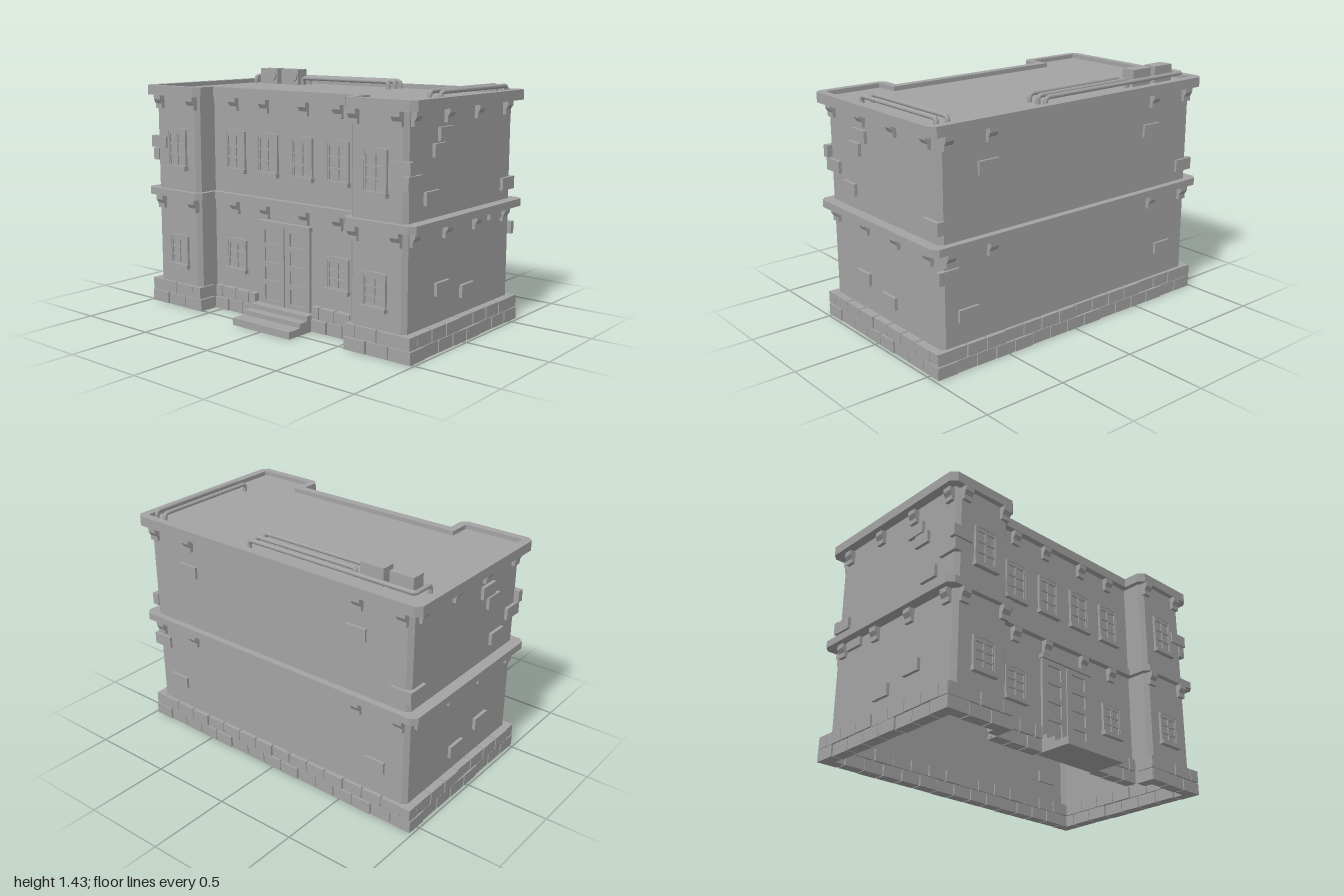
import * as THREE from 'three';

const stone = new THREE.MeshStandardMaterial({ color: 0xa3a3a3, side: THREE.DoubleSide });
stone.name = 'grey stone';

function add(parent, name, geometry, x = 0, y = 0, z = 0, ry = 0) {
  const m = new THREE.Mesh(geometry, stone);
  m.name = name;
  m.position.set(x, y, z);
  m.rotation.y = ry;
  parent.add(m);
  return m;
}
const box = (w, h, d) => new THREE.BoxGeometry(w, h, d);

// U-shaped floor plan with chamfered outer corners, as [x, z], front edges running to +x
function plan(hx, zb, zf, nx, nz, c) {
  const half = [[nx, nz], [nx, zf - c], [nx + c, zf], [hx - c, zf], [hx, zf - c], [hx, zb + c], [hx - c, zb]];
  return [...half, ...half.map(([x, z]) => [-x, z]).reverse()];
}
const toPoints = (pts) => pts.map(([x, z]) => new THREE.Vector2(x, -z));

// Horizontal slab from a plan, optionally with an opening
function slab(outer, inner, h) {
  const s = new THREE.Shape(toPoints(outer));
  if (inner) s.holes.push(new THREE.Path(toPoints(inner)));
  return new THREE.ExtrudeGeometry(s, { depth: h, bevelEnabled: false }).rotateX(-Math.PI / 2);
}

// Shape with a gently arched top, base at y = 0
function arched(Type, x0, x1, y0, y1, rise) {
  const s = new Type();
  s.moveTo(x0, y0);
  s.lineTo(x1, y0);
  s.lineTo(x1, y1 - rise);
  s.quadraticCurveTo((x0 + x1) / 2, y1 + rise, x0, y1 - rise);
  s.closePath();
  return s;
}
function rectHole(x0, x1, y0, y1) {
  return new THREE.Path([[x0, y0], [x1, y0], [x1, y1], [x0, y1]].map((p) => new THREE.Vector2(...p)));
}
const extrude = (s, depth) => new THREE.ExtrudeGeometry(s, { depth, bevelEnabled: false, curveSegments: 6 });

// Arched window: frame, six-pane sash, glass and sill
function makeWindow(parent, x, y, z, h) {
  const g = new THREE.Group();
  g.name = 'window';
  g.position.set(x, y, z);
  const w = 0.078;
  const frame = arched(THREE.Shape, -w, w, 0, h, 0.008);
  frame.holes.push(arched(THREE.Path, -w + 0.012, w - 0.012, 0.02, h - 0.012, 0.008));
  add(g, 'windowFrame', extrude(frame, 0.035), 0, 0, -0.02);
  const sash = arched(THREE.Shape, -w + 0.01, w - 0.01, 0.02, h - 0.01, 0.008);
  const y0 = 0.034, step = (h - 0.026 - y0) / 3;
  for (const s of [-1, 1]) for (let r = 0; r < 3; r++) {
    const a = s * 0.006, b = s * (w - 0.02);
    sash.holes.push(rectHole(Math.min(a, b), Math.max(a, b), y0 + r * step, y0 + (r + 1) * step - 0.01));
  }
  add(g, 'windowSash', extrude(sash, 0.008), 0, 0, 0.003);
  add(g, 'windowGlass', box(2 * w - 0.03, h - 0.04, 0.004), 0, h / 2, 0);
  add(g, 'windowSill', box(2 * w + 0.012, 0.026, 0.055), 0, 0.013, 0.002);
  parent.add(g);
}

// Stepped bracket profile (outward, down) extruded across its width
const bracketShape = new THREE.Shape(
  [[-0.01, 0], [0.035, 0], [0.035, -0.028], [0.02, -0.052], [0.02, -0.08], [-0.01, -0.08]].map((p) => new THREE.Vector2(...p)));
const bracketGeo = extrude(bracketShape, 0.055).translate(0, 0, -0.0275).rotateY(-Math.PI / 2);

// Pipe along a path with rounded corners
function pipe(parent, pts, bend = 0.025) {
  const v = pts.map((p) => new THREE.Vector3(...p));
  const path = new THREE.CurvePath();
  let from = v[0];
  for (let i = 1; i < v.length - 1; i++) {
    const a = v[i].clone().add(v[i - 1].clone().sub(v[i]).setLength(bend));
    const b = v[i].clone().add(v[i + 1].clone().sub(v[i]).setLength(bend));
    path.add(new THREE.LineCurve3(from, a));
    path.add(new THREE.QuadraticBezierCurve3(a, v[i], b));
    from = b;
  }
  path.add(new THREE.LineCurve3(from, v[v.length - 1]));
  add(parent, 'roofPipe', new THREE.TubeGeometry(path, 80, 0.013, 8));
}

export function createModel() {
  const root = new THREE.Group();
  root.name = 'building';

  // Walls
  const wallPlan = plan(0.935, -0.55, 0.5, 0.57, 0.36, 0.024);
  const walls = new THREE.Group();
  walls.name = 'walls';
  root.add(walls);
  // the plan starts at the right notch, so each edge runs outward-facing
  wallPlan.forEach(([ax, az], i) => {
    const [bx, bz] = wallPlan[(i + 1) % wallPlan.length];
    add(walls, 'wall', new THREE.PlaneGeometry(Math.hypot(bx - ax, bz - az), 1.32),
      (ax + bx) / 2, 0.67, (az + bz) / 2, Math.atan2(az - bz, bx - ax));
  });

  // Cornices and roof
  const outer = plan(1, -0.59, 0.532, 0.54, 0.398, 0.032);
  const inner = plan(0.95, -0.542, 0.485, 0.588, 0.347, 0.01);
  add(root, 'roofCornice', slab(outer, inner, 0.058), 0, 1.306, 0);
  add(root, 'roofDeck', slab(inner, null, 0.02), 0, 1.318, 0);
  add(root, 'middleCornice', slab(outer, plan(0.925, -0.54, 0.49, 0.58, 0.35, 0.02), 0.043), 0, 0.692, 0);

  // Brackets under both cornices
  for (const y of [1.307, 0.693]) for (const s of [-1, 1]) {
    for (const x of [0.885, 0.608]) {
      add(root, 'bracket', bracketGeo, s * x, y, 0.5);
      add(root, 'bracket', bracketGeo, s * x, y, -0.55, Math.PI);
    }
    for (const x of [0.393, 0.15]) add(root, 'bracket', bracketGeo, s * x, y, 0.36);
    for (const z of [0.44, 0.137, -0.162, -0.465]) add(root, 'bracket', bracketGeo, s * 0.935, y, z, s * Math.PI / 2);
  }

  // Windows
  for (const s of [-1, 1]) {
    makeWindow(root, s * 0.743, 0.86, 0.5, 0.255);
    makeWindow(root, s * 0.743, 0.255, 0.5, 0.21);
    makeWindow(root, s * 0.388, 0.86, 0.36, 0.255);
    makeWindow(root, s * 0.13, 0.86, 0.36, 0.255);
    makeWindow(root, s * 0.388, 0.255, 0.36, 0.21);
  }

  // Double door with four sunken panels per leaf
  for (const s of [-1, 1]) {
    const leaf = new THREE.Shape(rectHole(-0.094, 0.094, 0, 0.48).getPoints());
    for (const [a, b] of [[0.03, 0.12], [0.15, 0.23], [0.26, 0.34], [0.37, 0.45]])
      leaf.holes.push(rectHole(-0.055, 0.055, a, b));
    add(root, 'doorLeaf', extrude(leaf, 0.015), s * 0.098, 0.1, 0.362);
    add(root, 'doorPanels', box(0.186, 0.478, 0.008), s * 0.098, 0.34, 0.362);
  }
  add(root, 'doorLintel', box(0.4, 0.026, 0.05), 0, 0.592, 0.365);

  // Entrance steps
  [[0.05, 0.585], [0.077, 0.49], [0.105, 0.432]].forEach(([top, front]) => {
    add(root, 'entranceStep', box(0.436, top - 0.008, front - 0.35), 0, (top + 0.008) / 2, (front + 0.35) / 2);
  });

  // Two courses of base bricks in running bond
  const base = new THREE.Group();
  base.name = 'baseBricks';
  root.add(base);
  const course = (ax, az, bx, bz) => {
    const len = Math.hypot(bx - ax, bz - az), ux = (bx - ax) / len, uz = (bz - az) / len;
    const n = Math.max(1, Math.round(len / 0.133)), w = len / n;
    for (let row = 0; row < 2; row++) for (let i = 0; i < n + row; i++) {
      const t0 = Math.max(0, (i - row / 2) * w), t1 = Math.min(len, (i + 1 - row / 2) * w);
      const t = (t0 + t1) / 2, sink = 0.035 + ((i * 7 + row * 3) % 4) * 0.002;
      add(base, 'baseBrick', box(t1 - t0 - 0.007, 0.07, 0.07),
        ax + ux * t + uz * sink, row ? 0.12 : 0.045, az + uz * t - ux * sink, Math.atan2(-uz, ux));
    }
  };
  const B = { x: 0.985, back: -0.576, front: 0.522, notch: 0.552, mid: 0.398 };
  course(-B.x, B.front, -B.notch, B.front);
  course(B.notch, B.front, B.x, B.front);
  course(-B.notch, B.front, -B.notch, B.mid);
  course(B.notch, B.mid, B.notch, B.front);
  course(-B.notch, B.mid, -0.215, B.mid);
  course(0.215, B.mid, B.notch, B.mid);
  course(B.x, B.front, B.x, B.back);
  course(B.x, B.back, -B.x, B.back);
  course(-B.x, B.back, -B.x, B.front);

  // Loose accent bricks on the walls
  for (const s of [-1, 1]) {
    for (const [z, y, w] of [[0.16, 1.172, 0.125], [0.217, 1.09, 0.11], [0.444, 0.943, 0.13], [0.283, 0.847, 0.125],
      [-0.493, 0.827, 0.13], [0.172, 0.345, 0.125], [-0.08, 0.283, 0.125], [-0.36, 0.675, 0.125]])
      add(root, 'accentBrick', box(0.045, 0.072, w), s * 0.932, y, z);
    add(root, 'accentBrick', box(0.13, 0.07, 0.04), s * 0.902, 1.02, 0.493);
  }
  for (const [x, y] of [[0.625, 1.1], [-0.595, 1.095], [0.765, 0.32], [-0.73, 0.335], [-0.89, 0.83], [0.89, 0.56]])
    add(root, 'accentBrick', box(0.13, 0.072, 0.03), x, y, -0.55);

  // Rooftop cooling units with a round fan on the front
  for (const x of [-0.795, -0.612]) {
    const unit = new THREE.Group();
    unit.name = 'coolingUnit';
    unit.position.set(x, 1.387, -0.41);
    add(unit, 'unitBody', box(0.147, 0.1, 0.085));
    const fan = add(unit, 'unitFan', new THREE.CylinderGeometry(0.038, 0.038, 0.015, 20), 0.03, 0.008, 0.045);
    fan.rotation.x = Math.PI / 2;
    root.add(unit);
  }

  // Rooftop pipes, turned down into the deck at each end
  const low = 1.33, high = 1.384;
  pipe(root, [[-0.91, low, -0.365], [-0.91, high, -0.365], [-0.91, high, -0.497], [0.185, high, -0.497], [0.185, low, -0.497]]);
  for (const z of [-0.437, -0.369])
    pipe(root, [[-0.5, low, z], [-0.5, high, z], [0.185, high, z], [0.185, low, z]]);
  for (const x of [0.843, 0.912])
    pipe(root, [[x, low, -0.51], [x, high, -0.51], [x, high, 0.168], [x, low, 0.168]]);

  return root;
}
